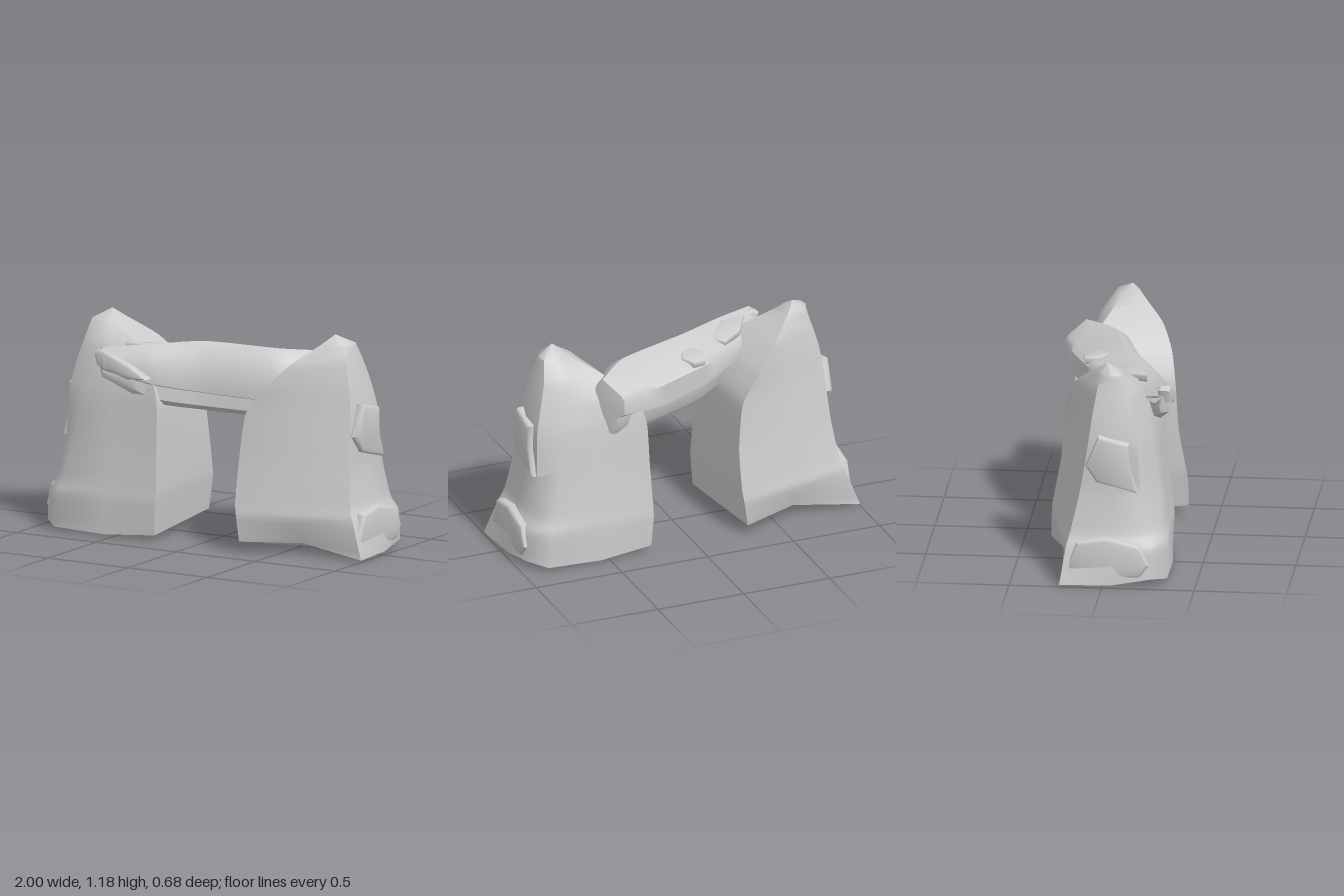
import * as THREE from 'three';
import { toCreasedNormals } from 'three/addons/utils/BufferGeometryUtils.js';

const stone = new THREE.MeshStandardMaterial({ color: 0xcccccc });

function part(name, geometry, crease = 0.8) {
  const mesh = new THREE.Mesh(toCreasedNormals(geometry, crease), stone);
  mesh.name = name;
  return mesh;
}

// Closed skin over a stack of rings, smoothed along its length
function loft(rings, steps, capStart, capEnd) {
  const n = rings[0].length;
  const curves = rings[0].map((_, j) =>
    new THREE.CatmullRomCurve3(rings.map(r => r[j]), false, 'catmullrom', 0.3));
  const pos = [], idx = [];
  for (let i = 0; i <= steps; i++) {
    for (const c of curves) pos.push(...c.getPoint(i / steps).toArray());
  }
  for (let i = 0; i < steps; i++) {
    for (let j = 0; j < n; j++) {
      const a = i * n + j, b = i * n + (j + 1) % n;
      idx.push(a, b, b + n, a, b + n, a + n);
    }
  }
  const s = pos.length / 3, top = steps * n;
  pos.push(...capStart, ...capEnd);
  for (let j = 0; j < n; j++) {
    const k = (j + 1) % n;
    idx.push(k, j, s, top + j, top + k, s + 1);
  }
  const g = new THREE.BufferGeometry();
  g.setAttribute('position', new THREE.Float32BufferAttribute(pos, 3));
  g.setIndex(idx);
  return g;
}

// Thin flake of rock with softened edges
function flake(points, depth, bevel) {
  const shape = new THREE.Shape(points.map(p => new THREE.Vector2(...p)));
  return new THREE.ExtrudeGeometry(shape, {
    depth, bevelEnabled: true, bevelThickness: bevel, bevelSize: bevel,
    bevelOffset: -bevel, bevelSegments: 2,
  });
}

function createPillar() {
  const pillar = new THREE.Group();

  // Leaning tapered body: height, then x,z from the front inner corner round
  const levels = [
    [0.00, .30, .34, .62, .20, 1.0, .23, .98, -.05, .95, -.26, .86, -.34, .55, -.34, .25, -.31],
    [0.20, .28, .34, .61, .27, .93, .20, .96, -.05, .94, -.26, .84, -.34, .55, -.33, .24, -.32],
    [0.28, .27, .33, .60, .26, .90, .18, .92, -.05, .90, -.24, .82, -.32, .55, -.32, .24, -.31],
    [0.50, .27, .29, .59, .23, .87, .13, .88, -.05, .87, -.20, .77, -.29, .55, -.29, .25, -.29],
    [0.75, .30, .27, .58, .19, .85, .09, .88, -.05, .86, -.18, .73, -.25, .55, -.26, .26, -.27],
    [0.90, .41, .24, .60, .16, .83, .07, .85, -.05, .83, -.16, .70, -.21, .55, -.22, .32, -.24],
    [1.02, .52, .18, .64, .12, .80, .05, .82, -.05, .80, -.13, .70, -.17, .61, -.16, .47, -.14],
    [1.13, .65, .06, .69, .05, .76, .03, .79, -.03, .78, -.08, .73, -.09, .68, -.08, .64, -.05],
  ];
  const footLift = [.06, .06, .01, .01, .04, .02, .01, .03];
  const rings = levels.map(([y, ...xz]) =>
    footLift.map((lift, i) =>
      new THREE.Vector3(xz[2 * i], y || lift, xz[2 * i + 1])));
  pillar.add(part('pillarBody', loft(rings, 28, [.62, 0, -.02], [.70, 1.18, 0])));

  // Layered plates on the outer face
  const plates = [
    ['outerPlate', [[-.1, .65], [-.03, .82], [.14, .78], [.14, .65], [.19, .5], [-.04, .56]], .86, .02],
    ['footPlate', [[-.2, .08], [-.14, .24], [.02, .27], [.2, .23], [.25, .12], [.2, .05], [-.1, .03]], .9, .05],
  ];
  for (const [name, points, x, depth] of plates) {
    const g = flake(points, depth, .02);
    g.rotateY(Math.PI / 2);
    g.translate(x, 0, 0);
    pillar.add(part(name, g, 0.9));
  }
  return pillar;
}

function createLintel() {
  const lintel = new THREE.Group();

  // Stations: front x,z, back x,z, top, lip and underside heights
  const stations = [
    [-.56, .34, -.62, .25, 1.03, .92, .87],
    [-.30, .27, -.44, .04, 1.05, .85, .74],
    [-.06, .15, -.14, -.16, 1.07, .81, .70],
    [.38, .03, .16, -.27, 1.05, .78, .68],
    [.54, -.18, .42, -.34, 1.03, .80, .72],
  ];
  // Front leans back to a crest, top falls away behind, lower layer is recessed
  const rings = stations.map(([fx, fz, bx, bz, top, lip, low]) => [
    [.32, top], [.12, top - .05], [0, lip + .07], [0, lip], [.1, lip - .01], [.08, low + .03], [.2, low],
    [.66, low], [.76, low + .04], [.78, lip + .02], [1, lip + .05], [1, top - .1], [.9, top - .07],
  ].map(([t, y]) => new THREE.Vector3(fx + (bx - fx) * t, y, fz + (bz - fz) * t)));
  lintel.add(part('lintelBody', loft(rings, 20, [-.61, .97, .3], [.5, .88, -.26])));

  // Flat stones lying on the sloping top
  const stones = [
    ['topStone', [[-.13, .1], [-.12, .18], [-.05, .19], [0, .13], [-.03, .04], [-.09, .03]], 1.01],
    ['topSlab', [[-.5, -.2], [-.42, -.06], [-.3, .02], [-.24, -.04], [-.36, -.18]], .99],
  ];
  for (const [name, points, y] of stones) {
    const g = flake(points, .02, .01);
    g.rotateX(-Math.PI / 2 - .15);
    g.translate(0, y, 0);
    lintel.add(part(name, g));
  }

  // Overhanging chip at the front left end
  const chip = flake([[-.62, 1.0], [-.58, 1.02], [-.4, .95], [-.29, .88], [-.42, .87], [-.6, .93]], .04, .015);
  chip.translate(0, 0, .28);
  lintel.add(part('endChip', chip));
  return lintel;
}

export function createModel() {
  const model = new THREE.Group();
  model.name = 'stoneArch';

  // The two pillars match under a half turn
  ['leftPillar', 'rightPillar'].forEach((name, i) => {
    const pillar = createPillar();
    pillar.name = name;
    pillar.rotation.y = i * Math.PI;
    model.add(pillar);
  });

  const lintel = createLintel();
  lintel.name = 'lintel';
  model.add(lintel);
  return model;
}
